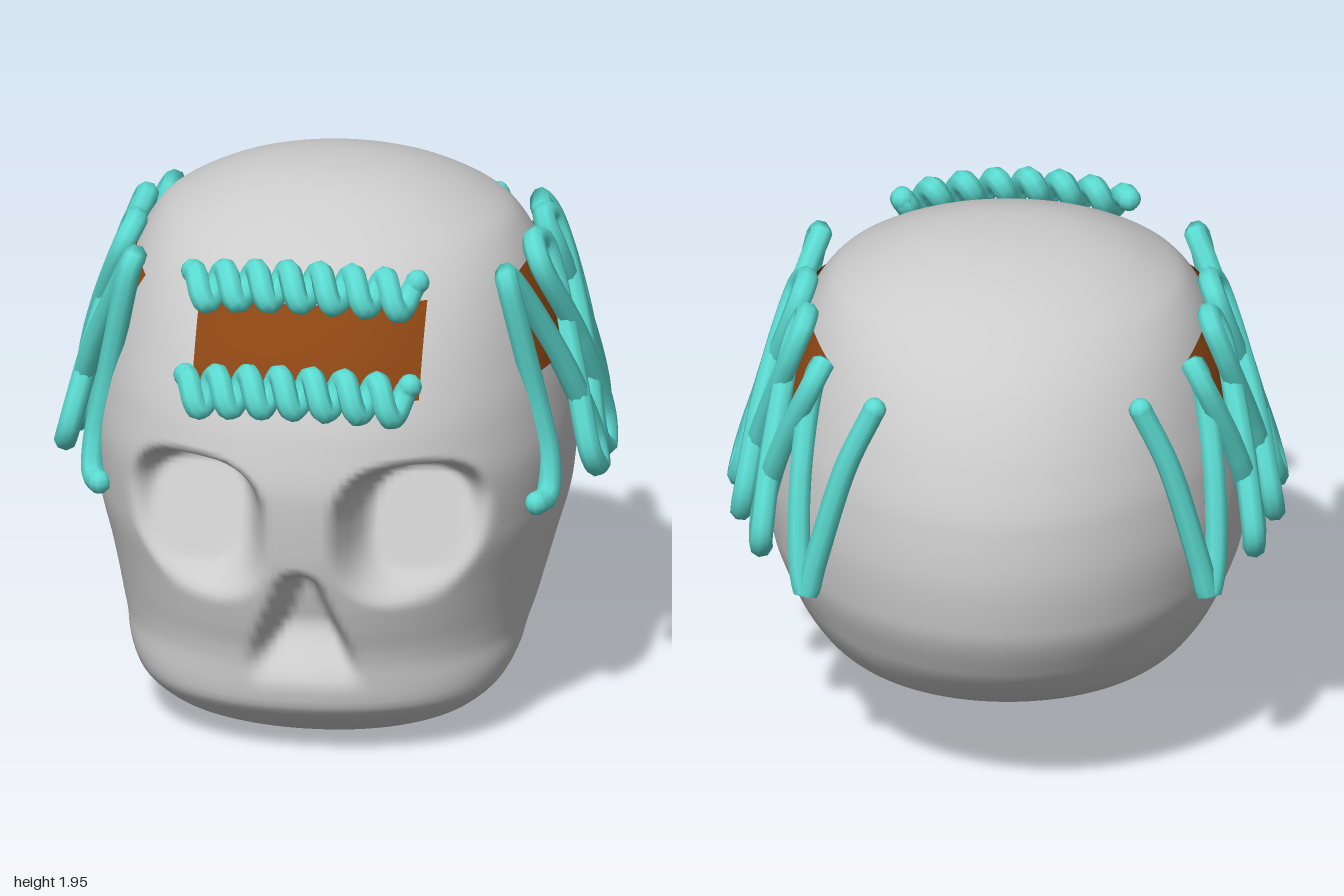
import * as THREE from 'three';
import { mergeVertices } from 'three/addons/utils/BufferGeometryUtils.js';

// Skull outline by height: [y, half width, front z, back z]
const ROWS = [
  [0, 0.31, 0.54, 0.15], [0.03, 0.42, 0.63, 0.08], [0.1, 0.56, 0.76, -0.05], [0.2, 0.66, 0.855, -0.24],
  [0.28, 0.7, 0.865, -0.42], [0.34, 0.715, 0.87, -0.56], [0.4, 0.735, 0.88, -0.67], [0.5, 0.76, 0.91, -0.79],
  [0.6, 0.785, 0.935, -0.87], [0.8, 0.835, 0.97, -0.96], [1, 0.85, 0.98, -0.98], [1.2, 0.83, 0.94, -0.96],
  [1.4, 0.785, 0.85, -0.89], [1.6, 0.72, 0.71, -0.77], [1.75, 0.635, 0.55, -0.62], [1.85, 0.485, 0.39, -0.46],
  [1.92, 0.295, 0.22, -0.26], [1.943, 0.15, 0.11, -0.13], [1.95, 0.02, 0.01, -0.02],
];
// Underside from back to front: [z, y]
const BASE = [
  [-1, 0.262], [-0.3, 0.265], [-0.05, 0.27], [0.06, 0.255], [0.15, 0.205],
  [0.3, 0.1], [0.38, 0.04], [0.45, 0.003], [0.55, 0], [1, -0.05],
];
const step = THREE.MathUtils.smoothstep;

// Monotone cubic interpolation of one column of a table
function lookup(rows, col, at) {
  let i = 0;
  while (i < rows.length - 2 && at > rows[i + 1][0]) i++;
  const slope = (k) => (rows[k + 1][col] - rows[k][col]) / (rows[k + 1][0] - rows[k][0]);
  const tangent = (k) => {
    if (k === 0) return slope(0);
    if (k === rows.length - 1) return slope(k - 1);
    const a = slope(k - 1), b = slope(k);
    return a * b <= 0 ? 0 : (2 * a * b) / (a + b);
  };
  const h = rows[i + 1][0] - rows[i][0], t = (at - rows[i][0]) / h, t2 = t * t, t3 = t2 * t;
  return (2 * t3 - 3 * t2 + 1) * rows[i][col] + (t3 - 2 * t2 + t) * h * tangent(i)
    + (3 * t2 - 2 * t3) * rows[i + 1][col] + (t3 - t2) * h * tangent(i + 1);
}

function section(y) {
  const front = lookup(ROWS, 2, y), back = lookup(ROWS, 3, y);
  return { w: lookup(ROWS, 1, y), mid: (front + back) / 2, d: (front - back) / 2 };
}
// The face is a little squarer than the back of the head
const power = (u) => (u < 0 ? 1.97 : 2.12);

// Egg-shaped sections blended into the underside
function inside(x, y, z) {
  if (y <= 0 || y >= 1.95 || Math.abs(z) > 1) return false;
  const { w, mid, d } = section(y);
  const u = (z - mid) / d, n = power(u);
  const wall = (Math.abs(x / w) ** n + Math.abs(u) ** n) ** (1 / n) - 1;
  const floor = lookup(BASE, 1, z) - y;
  const k = 0.12 + x * x * (0.2 + 0.5 * step(-z, -0.3, 0.3));
  const h = Math.max(0, k - Math.abs(wall - floor)) / k;
  return Math.max(wall, floor) + (h * h * k) / 4 < 0;
}
const arc = (u) => Math.max(0, 1 - Math.abs(u) ** power(u)) ** (1 / power(u));
const sideX = (y, z) => { const s = section(y); return s.w * arc((z - s.mid) / s.d); };
const frontZ = (x, y) => { const s = section(y); return s.mid + s.d * arc(Math.abs(x) / s.w); };

// Sinks the eye sockets and the nose opening into the face
function carve(p) {
  if (p.z < 0.3) return;
  const ex = (Math.abs(p.x) - 0.39) / 0.265, ey = (p.y - 0.86) / 0.265;
  const r = (Math.abs(ex) ** 2.7 + Math.abs(ey) ** 2.7) ** (1 / 2.7);
  const eye = 1 - step(r, 0.62, 1.07);
  const wall = 0.665 - 0.12 * ey - 0.04 * ex;
  p.z = THREE.MathUtils.lerp(p.z, Math.min(p.z, wall), eye);

  const t = (p.y - 0.28) / 0.44;
  if (t > -0.1 && t < 1.15) {
    const half = 0.05 + 0.17 * (1 - t);
    const across = 1 - step(Math.abs(p.x), half - 0.07, half + 0.025);
    const up = step(t, -0.05, 0.5) * (1 - step(t, 0.85, 1.05));
    p.z -= 0.17 * across * up;
  }
}

function skullGeometry() {
  const sphere = new THREE.SphereGeometry(1, 224, 160);
  sphere.deleteAttribute('uv');
  sphere.deleteAttribute('normal');
  const geo = mergeVertices(sphere, 1e-5);
  const pos = geo.attributes.position, p = new THREE.Vector3();
  for (let i = 0; i < pos.count; i++) {
    p.fromBufferAttribute(pos, i).normalize();
    let lo = 0, hi = 1.6;
    for (let k = 0; k < 24; k++) {
      const m = (lo + hi) / 2;
      if (inside(p.x * m, 0.95 + p.y * m, p.z * m)) lo = m; else hi = m;
    }
    p.multiplyScalar(lo);
    p.y += 0.95;
    carve(p);
    pos.setXYZ(i, p.x, p.y, p.z);
  }
  geo.computeVertexNormals();
  return geo;
}

// Curved sheet from a rule (u, v) -> point
function sheet(rule) {
  const geo = new THREE.PlaneGeometry(1, 1, 20, 8);
  const pos = geo.attributes.position;
  for (let i = 0; i < pos.count; i++) pos.setXYZ(i, ...rule(pos.getX(i) * 2, pos.getY(i) + 0.5));
  geo.computeVertexNormals();
  return geo;
}

// Cord along points with rounded ends
function cord(name, points, radius, segments, material) {
  const group = new THREE.Group();
  group.name = name;
  const curve = new THREE.CatmullRomCurve3(points, false, 'centripetal');
  group.add(new THREE.Mesh(new THREE.TubeGeometry(curve, segments, radius, 8), material));
  for (const end of [points[0], points[points.length - 1]]) {
    const cap = new THREE.Mesh(new THREE.SphereGeometry(radius * 1.02, 8, 6), material);
    cap.position.copy(end);
    group.add(cap);
  }
  group.children.forEach((m) => { m.name = name; });
  return group;
}

// Side lacing path on the +x side
const LACE = [
  [0.78, 0.87, 0.49], [0.81, 0.88, 0.43], [0.81, 1.0, 0.385], [0.77, 1.2, 0.385], [0.67, 1.68, 0.45], [0.66, 1.7, 0.42],
  [0.7, 1.62, 0.36], [0.85, 1.25, 0.18], [0.93, 0.97, 0.08], [0.95, 0.89, 0.13], [0.93, 0.96, 0.19],
  [0.87, 1.2, 0.12], [0.77, 1.55, -0.02], [0.73, 1.67, -0.02], [0.71, 1.7, 0.06], [0.74, 1.64, 0.13],
  [0.86, 1.3, -0.03], [0.93, 0.97, -0.17], [0.94, 0.88, -0.12], [0.92, 0.94, -0.04],
  [0.87, 1.2, -0.13], [0.76, 1.58, -0.28], [0.72, 1.68, -0.27], [0.71, 1.69, -0.19], [0.75, 1.6, -0.18],
  [0.83, 1.25, -0.35], [0.87, 0.95, -0.47], [0.87, 0.88, -0.4], [0.87, 0.94, -0.32],
  [0.81, 1.25, -0.43], [0.69, 1.58, -0.53], [0.65, 1.65, -0.5], [0.68, 1.58, -0.47],
  [0.73, 1.25, -0.57], [0.73, 0.9, -0.66], [0.71, 0.83, -0.68], [0.68, 0.95, -0.69], [0.57, 1.35, -0.715], [0.47, 1.58, -0.725],
];

// Row of zigzag stitching across the forehead
function stitchRow(y0, z0, sag, up, back) {
  const points = [], turns = 7, perTurn = 8;
  for (let i = 0; i <= turns * perTurn; i++) {
    const a = (i / perTurn) * Math.PI * 2, u = (i / (turns * perTurn)) * 2 - 1;
    const s = Math.cos(a) * 0.06, n = Math.sin(a) * 0.025;
    points.push(new THREE.Vector3(u * 0.4 - 0.025,
      y0 - 0.04 * u * u + s * up + n * back,
      z0 - sag * u * u - s * back + n * up));
  }
  return points;
}

export function createModel() {
  const model = new THREE.Group();
  model.name = 'stitchedSkull';
  const bone = new THREE.MeshStandardMaterial({ color: 0xcccccc });
  const leather = new THREE.MeshStandardMaterial({ color: 0x8b4513, side: THREE.DoubleSide });
  const thread = new THREE.MeshStandardMaterial({ color: 0x5cdcd2 });
  const add = (name, geo, mat) => {
    const mesh = new THREE.Mesh(geo, mat);
    mesh.name = name;
    model.add(mesh);
  };

  add('skull', skullGeometry(), bone);

  // Forehead patch and its two stitched edges
  add('foreheadPatch', sheet((u, v) => {
    const x = u * 0.405, y = 1.34 + v * 0.3;
    return [x, y + 0.01, frontZ(x, y) + 0.025];
  }), leather);
  model.add(cord('upperForeheadStitch', stitchRow(1.725, 0.725, 0.06, 0.75, 0.66), 0.043, 260, thread));
  model.add(cord('lowerForeheadStitch', stitchRow(1.395, 0.915, 0.07, 0.87, 0.49), 0.043, 260, thread));

  // Side patches and lacing, mirrored
  for (const [name, side] of [['left', 1], ['right', -1]]) {
    add(name + 'SidePatch', sheet((u, v) => {
      const z = -0.01 - u * 0.375, y = THREE.MathUtils.lerp(1.31, 1.66 - 0.05 * u * u, v);
      return [side * (sideX(y, z) + 0.015), y, z];
    }), leather);
    const points = LACE.map(([x, y, z]) => new THREE.Vector3(side * x, y, z));
    model.add(cord(name + 'SideLace', points, 0.042, 300, thread));
  }
  return model;
}
